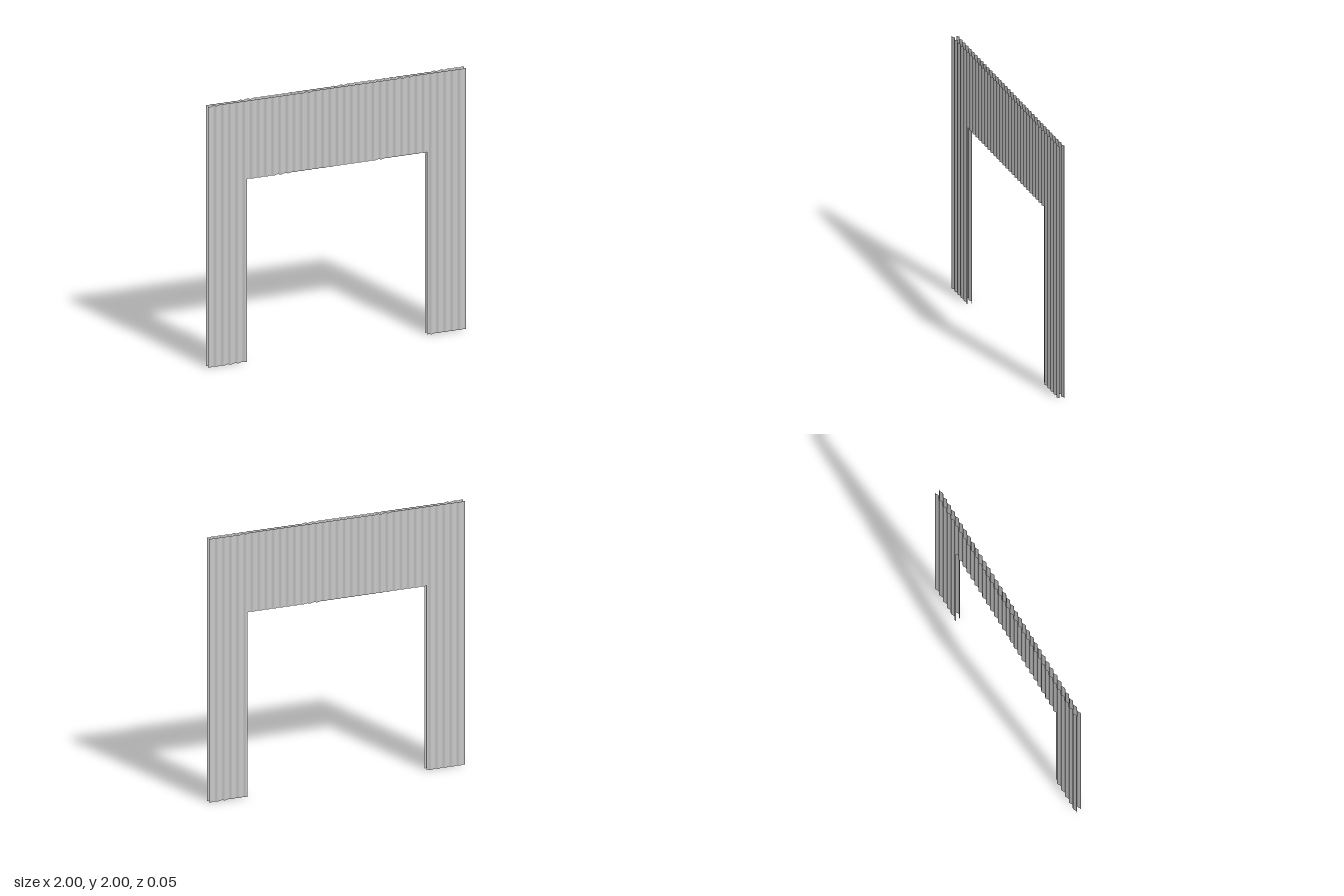
import * as THREE from 'three';

const WAVES = 36;        // ridges across the full width
const DEPTH = 0.0062;    // half height of a ridge
const GAP = 0.0178;      // distance of each skin from the middle
const K = Math.PI * WAVES;

// One corrugated panel between x0..x1 and y0..y1; side is +1 front, -1 back
function panel(name, x0, x1, y0, y1, side, material) {
  const cols = Math.round((x1 - x0) * WAVES / 2 * 10);
  const geo = new THREE.PlaneGeometry(x1 - x0, y1 - y0, cols, 1);
  if (side < 0) geo.rotateY(Math.PI);
  geo.translate((x0 + x1) / 2, (y0 + y1) / 2, 0);
  const pos = geo.attributes.position;
  const nor = geo.attributes.normal;
  const n = new THREE.Vector3();
  for (let i = 0; i < pos.count; i++) {
    const a = K * (pos.getX(i) + 1);
    pos.setZ(i, side * GAP + DEPTH * Math.sin(a));
    // smooth normal from the slope of the wave
    n.set(-DEPTH * K * Math.cos(a), 0, 1).normalize().multiplyScalar(side);
    nor.setXYZ(i, n.x, n.y, n.z);
  }
  const mesh = new THREE.Mesh(geo, material);
  mesh.name = name;
  return mesh;
}

export function createModel() {
  const root = new THREE.Group();
  root.name = 'corrugatedDoorwayWall';
  const material = new THREE.MeshStandardMaterial({ color: 0xcccccc, side: THREE.DoubleSide });

  // Two parallel open skins, each with a header above the opening and two legs
  for (const side of [1, -1]) {
    const skin = new THREE.Group();
    skin.name = side > 0 ? 'frontSkin' : 'backSkin';
    skin.add(
      panel('rightLeg', -1, -0.7, 0, 2, side, material),
      panel('header', -0.7, 0.7, 1.4, 2, side, material),
      panel('leftLeg', 0.7, 1, 0, 2, side, material),
    );
    root.add(skin);
  }
  return root;
}
